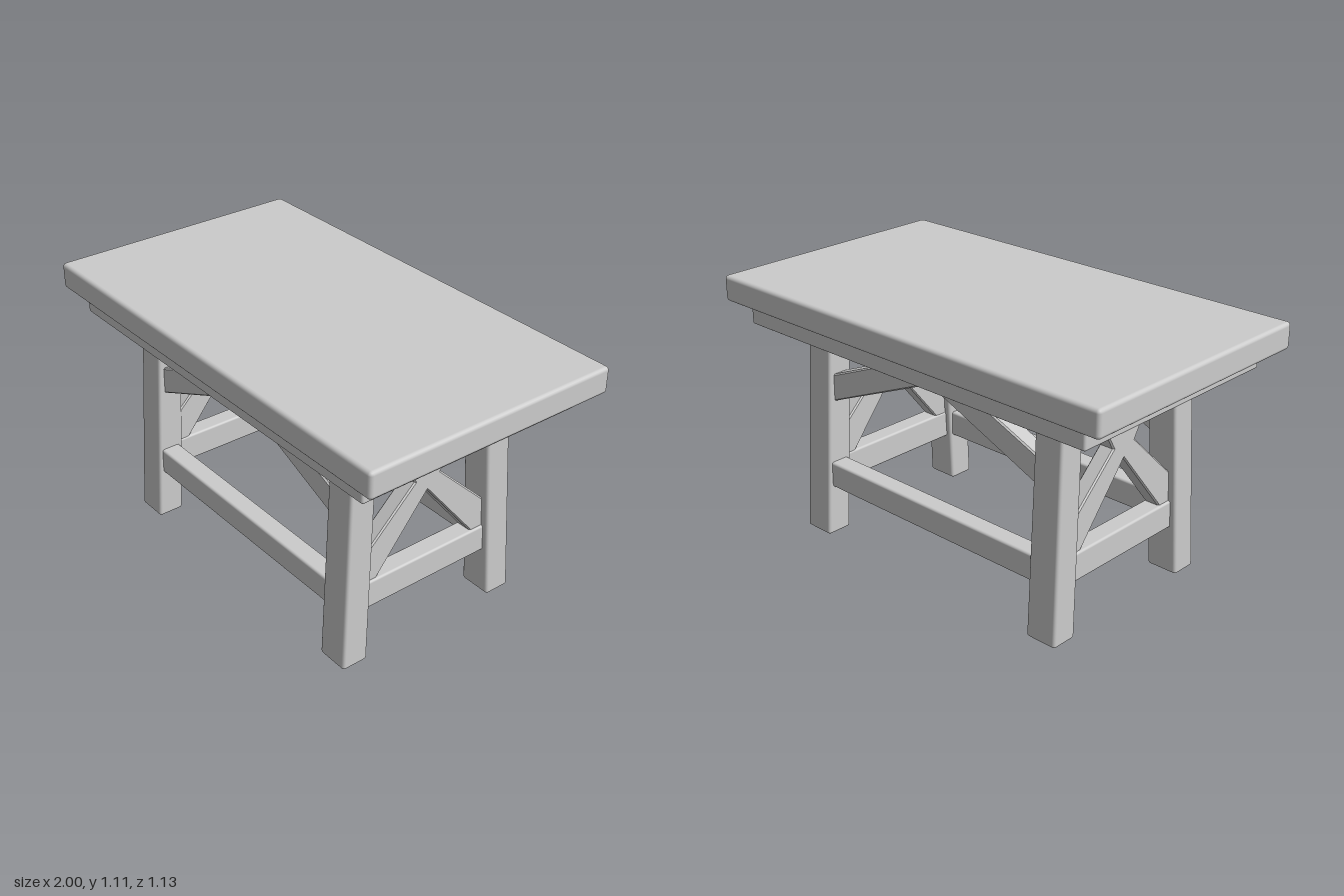
import * as THREE from 'three';
import { RoundedBoxGeometry } from 'three/addons/geometries/RoundedBoxGeometry.js';

const material = new THREE.MeshStandardMaterial({ color: 0xcccccc });

function add(parent, name, geometry, x = 0, y = 0, z = 0) {
  const mesh = new THREE.Mesh(geometry, material);
  mesh.name = name;
  mesh.position.set(x, y, z);
  parent.add(mesh);
  return mesh;
}

// Softly worn timber block
const timber = (w, h, d, r = 0.01) => new RoundedBoxGeometry(w, h, d, 2, r);

// Rectangular frame of four timbers, given outer half sizes and timber widths
function addFrame(parent, name, hx, hz, wx, wz, y0, y1) {
  const frame = new THREE.Group();
  frame.name = name;
  const h = y1 - y0, y = (y0 + y1) / 2;
  for (const s of [-1, 1]) {
    add(frame, 'longRail', timber(hx * 2, h, wz), 0, y, s * (hz - wz / 2));
    add(frame, 'shortRail', timber(wx, h, hz * 2), s * (hx - wx / 2), y, 0);
  }
  parent.add(frame);
}

// Splayed leg: the block widens and leans outward towards the foot
function legGeometry(sx, sz) {
  const height = 0.96;
  const g = timber(0.13, height, 0.115, 0.012);
  const p = g.attributes.position;
  for (let i = 0; i < p.count; i++) {
    const y = p.getY(i) + height / 2;
    const t = 1 - y / 0.91;
    const foot = Math.max(0, 1 - y / 0.12);
    // inner face tucks in slightly at the foot
    const inner = p.getZ(i) * sz < 0 ? 0.02 * (foot - t) : 0;
    p.setXYZ(i,
      p.getX(i) * (1 + 0.1 * t) + sx * (0.627 + 0.016 * t),
      y,
      p.getZ(i) + sz * (0.328 + 0.049 * t + inner));
  }
  return g;
}

// Flat outline cut from a plank, centred on its thickness
function plank(points, thickness) {
  const shape = new THREE.Shape(points.map(([x, y]) => new THREE.Vector2(x, y)));
  const b = 0.006;
  const g = new THREE.ExtrudeGeometry(shape, {
    depth: thickness - 2 * b, bevelEnabled: true, bevelThickness: b,
    bevelSize: b, bevelOffset: -b, bevelSegments: 1,
  });
  return g.translate(0, 0, b - thickness / 2);
}

// Completes an outline given for one half, from bottom centre to top centre
function mirrored(half) {
  const other = half.slice(1, -1).reverse().map(([x, y]) => [-x, y]);
  return [...half, ...other];
}

export function createModel() {
  const table = new THREE.Group();
  table.name = 'table';

  // Top and the frames under it
  add(table, 'tableTop', timber(2, 0.112, 1.135, 0.016), 0, 1.056, 0);
  addFrame(table, 'apron', 0.9, 0.515, 0.1, 0.075, 0.91, 1.01);
  addFrame(table, 'innerFrame', 0.7, 0.39, 0.13, 0.11, 0.925, 1.01);

  // Legs
  for (const sx of [-1, 1]) {
    for (const sz of [-1, 1]) add(table, 'leg', legGeometry(sx, sz));
  }

  // Lower stretchers
  for (const s of [-1, 1]) {
    add(table, 'longStretcher', timber(1.18, 0.115, 0.085), 0, 0.281, s * 0.36);
    add(table, 'endStretcher', timber(0.085, 0.122, 0.64), s * 0.638, 0.275, 0);
  }

  // Slanted braces meeting under the middle of each long side
  const gable = mirrored([
    [0, 0.85], [0.6, 0.6], [0.6, 0.72], [0.17, 0.897], [0.12, 0.93], [0, 0.93],
  ]);
  for (const s of [-1, 1]) add(table, 'slantedBraces', plank(gable, 0.075), 0, 0, s * 0.335);

  // Crossed braces at each end, wider below the crossing
  const cross = mirrored([
    [0, 0.63], [0.243, 0.33], [0.31, 0.32], [0.31, 0.455],
    [0.065, 0.69], [0.205, 0.935], [0.14, 0.935], [0, 0.75],
  ]);
  for (const s of [-1, 1]) {
    const brace = add(table, 'crossBraces', plank(cross, 0.07), s * 0.635, 0, 0);
    brace.rotation.y = Math.PI / 2;
  }

  return table;
}
